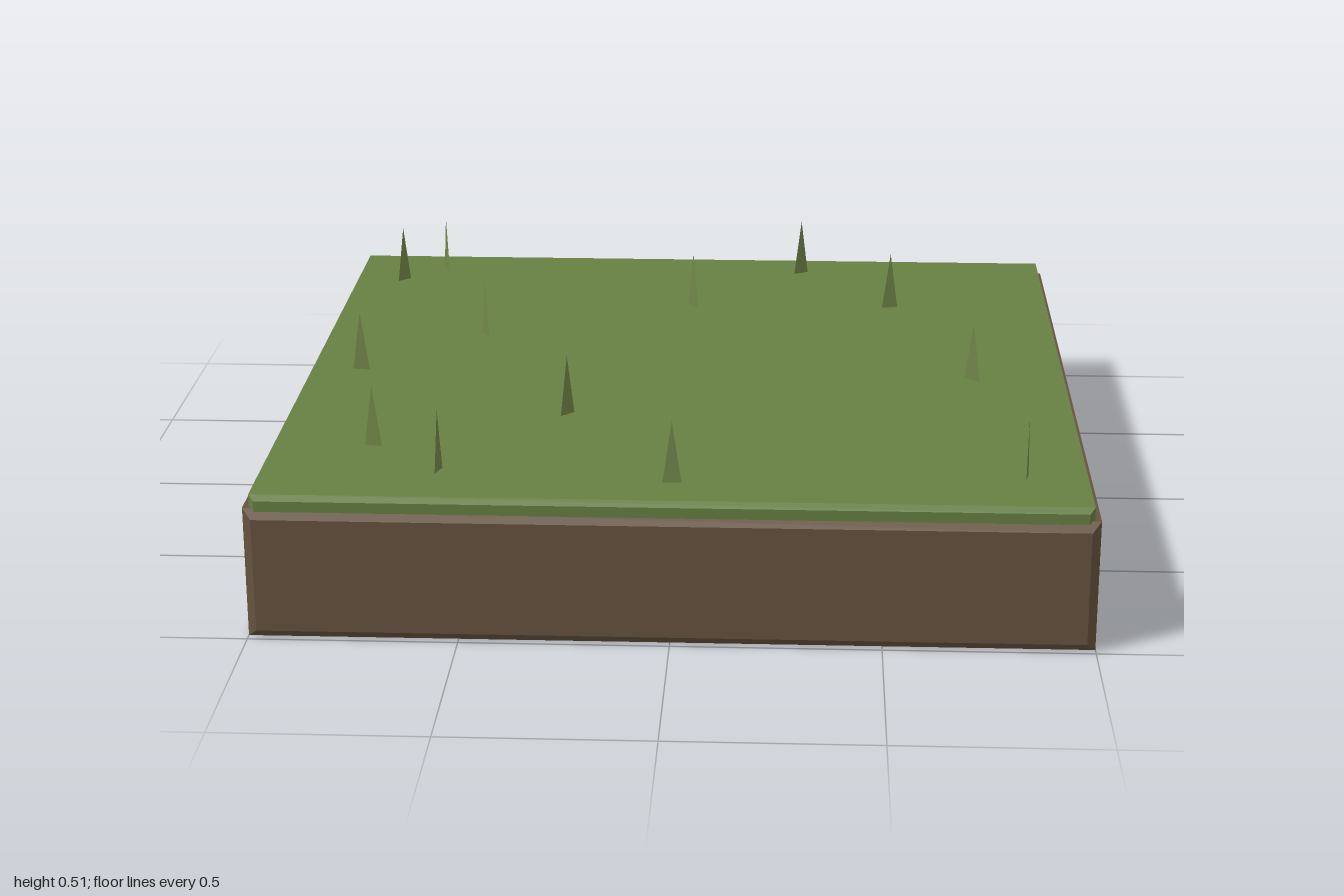
import * as THREE from 'three';

const soil = new THREE.MeshStandardMaterial({ color: 0x66533f, flatShading: true });
const turf = new THREE.MeshStandardMaterial({ color: 0x678042, flatShading: true });
const leaf = new THREE.MeshStandardMaterial({ color: 0x73874a, flatShading: true, side: THREE.DoubleSide });

// Slab with chamfered front and back rims, standing on y0
function slab(name, width, y0, y1, length, bevel, material) {
  const w = width / 2 - bevel;
  const shape = new THREE.Shape([
    new THREE.Vector2(-w, y0 + bevel),
    new THREE.Vector2(w, y0 + bevel),
    new THREE.Vector2(w, y1 - bevel),
    new THREE.Vector2(-w, y1 - bevel),
  ]);
  const depth = length - 2 * bevel;
  const geometry = new THREE.ExtrudeGeometry(shape, {
    depth, bevelEnabled: true, bevelThickness: bevel, bevelSize: bevel, bevelSegments: 1,
  });
  geometry.translate(0, 0, -depth / 2);
  const mesh = new THREE.Mesh(geometry, material);
  mesh.name = name;
  return mesh;
}

export function createModel() {
  const group = new THREE.Group();
  group.name = 'grassTile';

  group.add(slab('dirtBlock', 2, 0, 0.325, 2, 0.022, soil));
  group.add(slab('grassLayer', 1.97, 0.295, 0.357, 1.97, 0.013, turf));

  // Flat triangular blades: x, z, and the heading (dx, dz) of the base line
  const blades = [
    [-0.74, -0.845, 4, 8], [-0.85, -0.735, 6, -6], [0.295, -0.85, 7, -4],
    [-0.005, -0.515, 5, 6], [0.545, -0.53, 8, -2], [-0.56, -0.24, 4, 7],
    [-0.855, 0.065, 8, 1], [0.745, 0.085, 8, 5], [-0.29, 0.375, 1, 10],
    [-0.285, 0.39, 5, -5], [-0.74, 0.635, 8, 2], [-0.56, 0.8, 2.5, -8],
    [0, 0.855, 8, 0], [0.84, 0.79, 1.5, -8],
  ];
  const triangle = new THREE.ShapeGeometry(new THREE.Shape([
    new THREE.Vector2(-0.023, 0),
    new THREE.Vector2(0.023, 0),
    new THREE.Vector2(0, 0.16),
  ]));
  const tufts = new THREE.Group();
  tufts.name = 'grassBlades';
  for (const [x, z, dx, dz] of blades) {
    const blade = new THREE.Mesh(triangle, leaf);
    blade.name = 'grassBlade';
    blade.position.set(x, 0.352, z);
    blade.rotation.y = Math.atan2(-dz, dx);
    tufts.add(blade);
  }
  group.add(tufts);
  return group;
}
